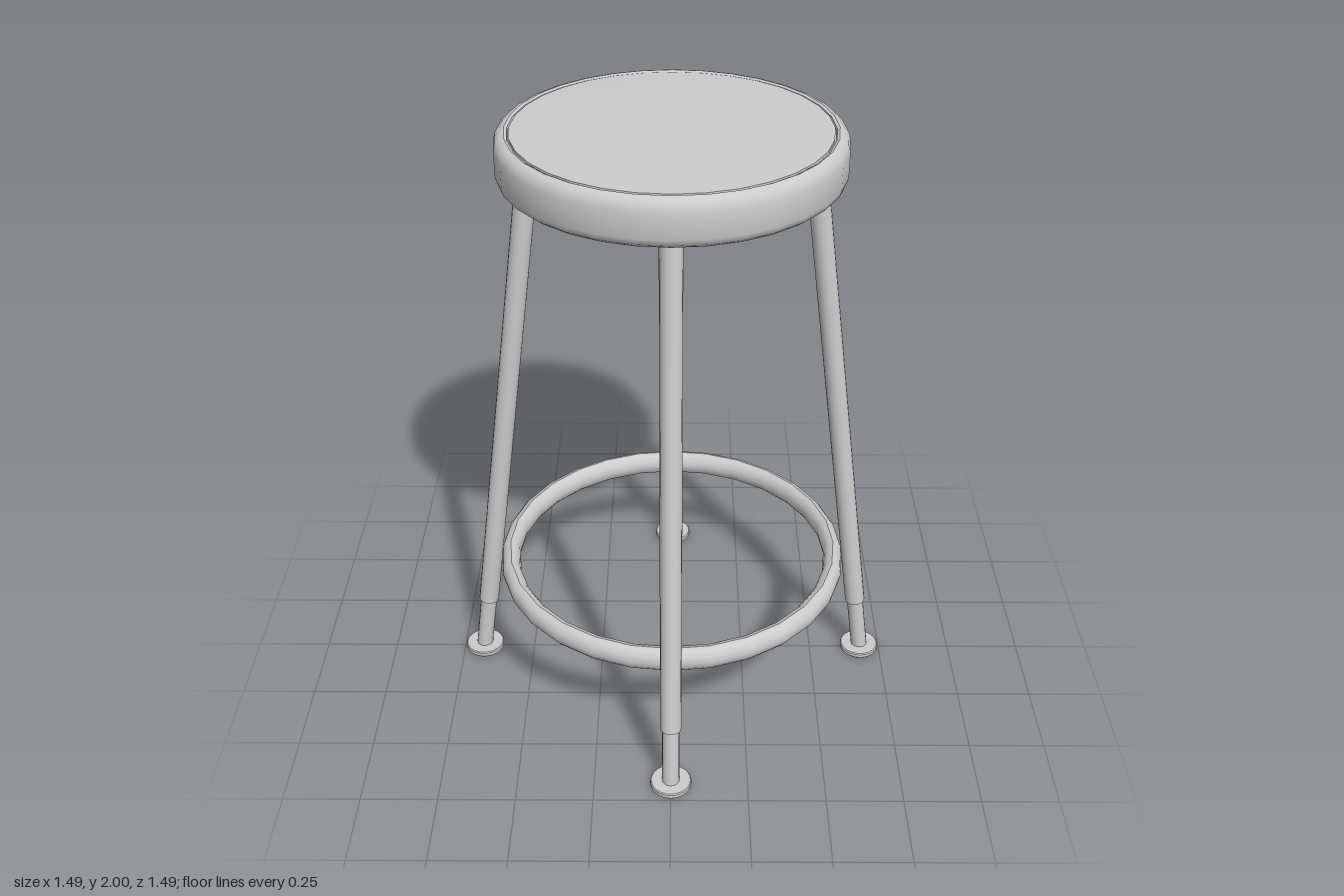
import * as THREE from 'three';
import { toCreasedNormals } from 'three/addons/utils/BufferGeometryUtils.js';

const material = new THREE.MeshStandardMaterial({ color: 0xcccccc, side: THREE.DoubleSide });

function part(name, geometry, parent) {
  const mesh = new THREE.Mesh(geometry, material);
  mesh.name = name;
  parent.add(mesh);
  return mesh;
}

// Turned solid from [radius, height] pairs, listed bottom to top
function turned(profile, sides) {
  const points = profile.map(([r, y]) => new THREE.Vector2(r, y));
  return toCreasedNormals(new THREE.LatheGeometry(points, sides), 0.6);
}

// Straight tube between two points
function tube(name, from, to, radius, parent) {
  const direction = to.clone().sub(from);
  const geometry = new THREE.CylinderGeometry(radius, radius, direction.length(), 16);
  const mesh = part(name, toCreasedNormals(geometry, 0.6), parent);
  mesh.position.copy(from).add(to).multiplyScalar(0.5);
  mesh.quaternion.setFromUnitVectors(new THREE.Vector3(0, 1, 0), direction.normalize());
}

export function createModel() {
  const stool = new THREE.Group();
  stool.name = 'stool';

  // Seat pan with rounded edges and a gently bulged underside
  part('seatPan', turned([
    [0, 1.835], [0.25, 1.837], [0.485, 1.842], [0.505, 1.845], [0.52, 1.857], [0.526, 1.875],
    [0.526, 1.955], [0.52, 1.975], [0.507, 1.988], [0.493, 1.992], [0.485, 1.988],
    [0.483, 1.98], [0, 1.98],
  ], 32), stool);

  // Inset seat panel, separated from the rim by a fine groove
  part('seatPanel', turned([[0, 1.978], [0.479, 1.978], [0.479, 1.99], [0.4, 1.993], [0.15, 1.999], [0, 2]], 32), stool);

  // Foot ring with a slightly tall oval section
  const oval = [];
  for (let i = 0; i <= 12; i++) {
    const a = (i / 12) * Math.PI * 2;
    oval.push([0.559 + 0.032 * Math.cos(a), 0.432 + 0.042 * Math.sin(a)]);
  }
  part('footRing', turned(oval, 28), stool);

  // Four splayed legs, one on each axis
  const onLeg = (y) => new THREE.Vector3(0.681 - 0.134 * y, y, 0);
  for (let i = 0; i < 4; i++) {
    const leg = new THREE.Group();
    leg.name = 'leg' + (i + 1);
    leg.rotation.y = (i * Math.PI) / 2;
    tube('upperTube', onLeg(0.22), onLeg(1.86), 0.034, leg);
    tube('lowerTube', onLeg(0.014), onLeg(0.3), 0.028, leg);
    // Disc foot with a shallow recess below
    const foot = part('foot', turned([
      [0, 0.008], [0.032, 0.008], [0.036, 0], [0.064, 0], [0.067, 0.004], [0.067, 0.016], [0.064, 0.02], [0, 0.02],
    ], 24), leg);
    foot.position.x = 0.678;
    stool.add(leg);
  }
  return stool;
}
